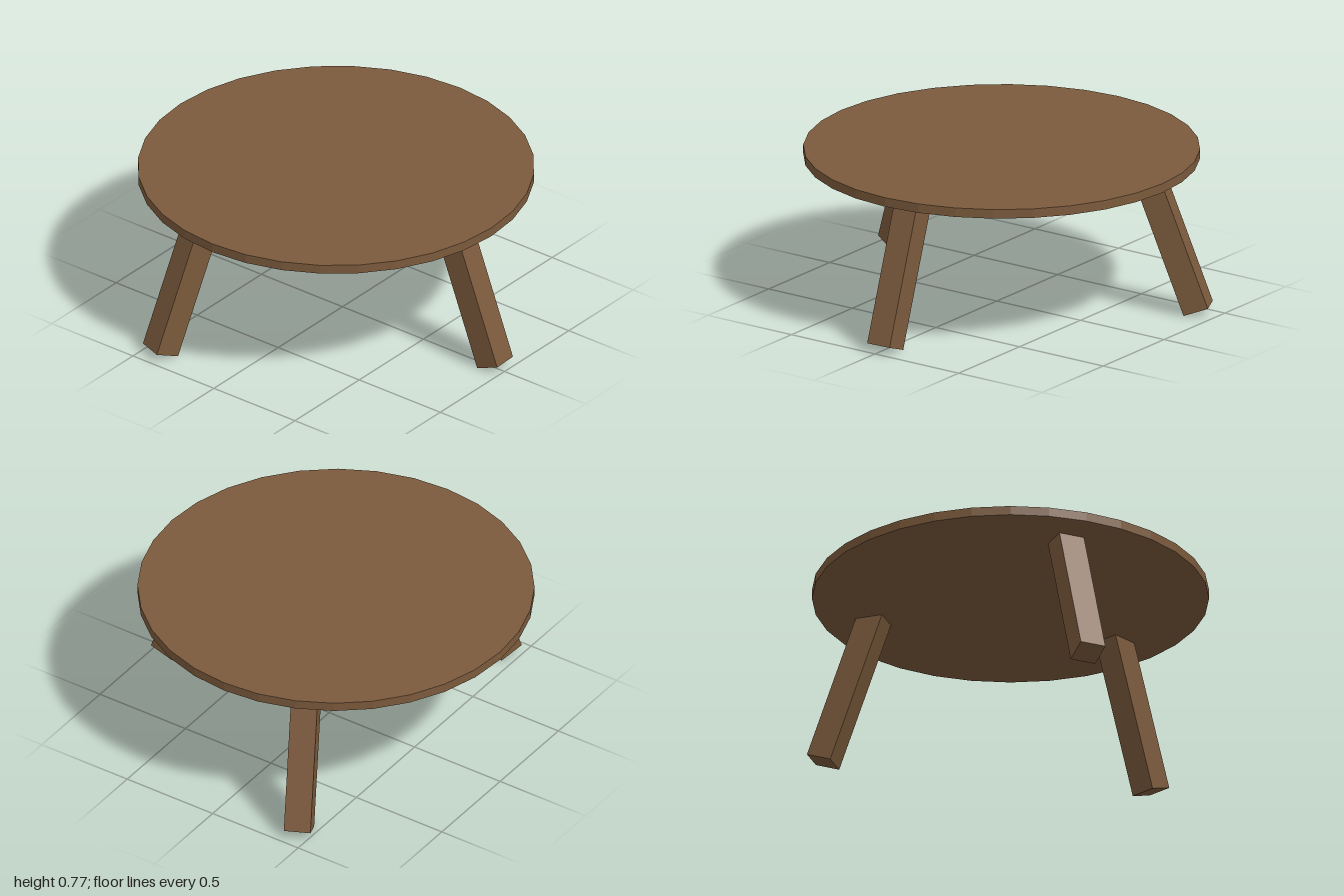
import * as THREE from 'three';

const CENTRE_X = -0.04;   // the top sits slightly off the bounding-box centre
const deg = THREE.MathUtils.degToRad;

export function createModel() {
  const model = new THREE.Group();
  model.name = 'roundTable';

  const wood = new THREE.MeshStandardMaterial({ color: 0x7b5a3c, flatShading: true });
  wood.name = 'brown wood';

  // Thin faceted round top
  const top = new THREE.Mesh(new THREE.CylinderGeometry(0.96, 0.96, 0.046, 32), wood);
  top.name = 'tableTop';
  top.position.set(CENTRE_X, 0.752, 0);
  model.add(top);

  // Splayed square legs, hung from a point inside the top
  const length = 0.777;
  const legGeometry = new THREE.BoxGeometry(0.127, length, 0.13);
  legGeometry.translate(0, -length / 2, 0);

  const legs = [['leftLeg', 0], ['frontLeg', 113], ['backLeg', -113]];
  for (const [name, angle] of legs) {
    const mount = new THREE.Group();
    mount.name = name;
    const a = deg(angle);
    mount.position.set(CENTRE_X + 0.707 * Math.cos(a), 0.752, 0.707 * Math.sin(a));
    mount.rotation.y = -deg(angle - 2.5);   // each leg is turned a little off radial

    const leg = new THREE.Mesh(legGeometry, wood);
    leg.name = name + 'Post';
    leg.rotation.z = deg(20);
    mount.add(leg);
    model.add(mount);
  }
  return model;
}
